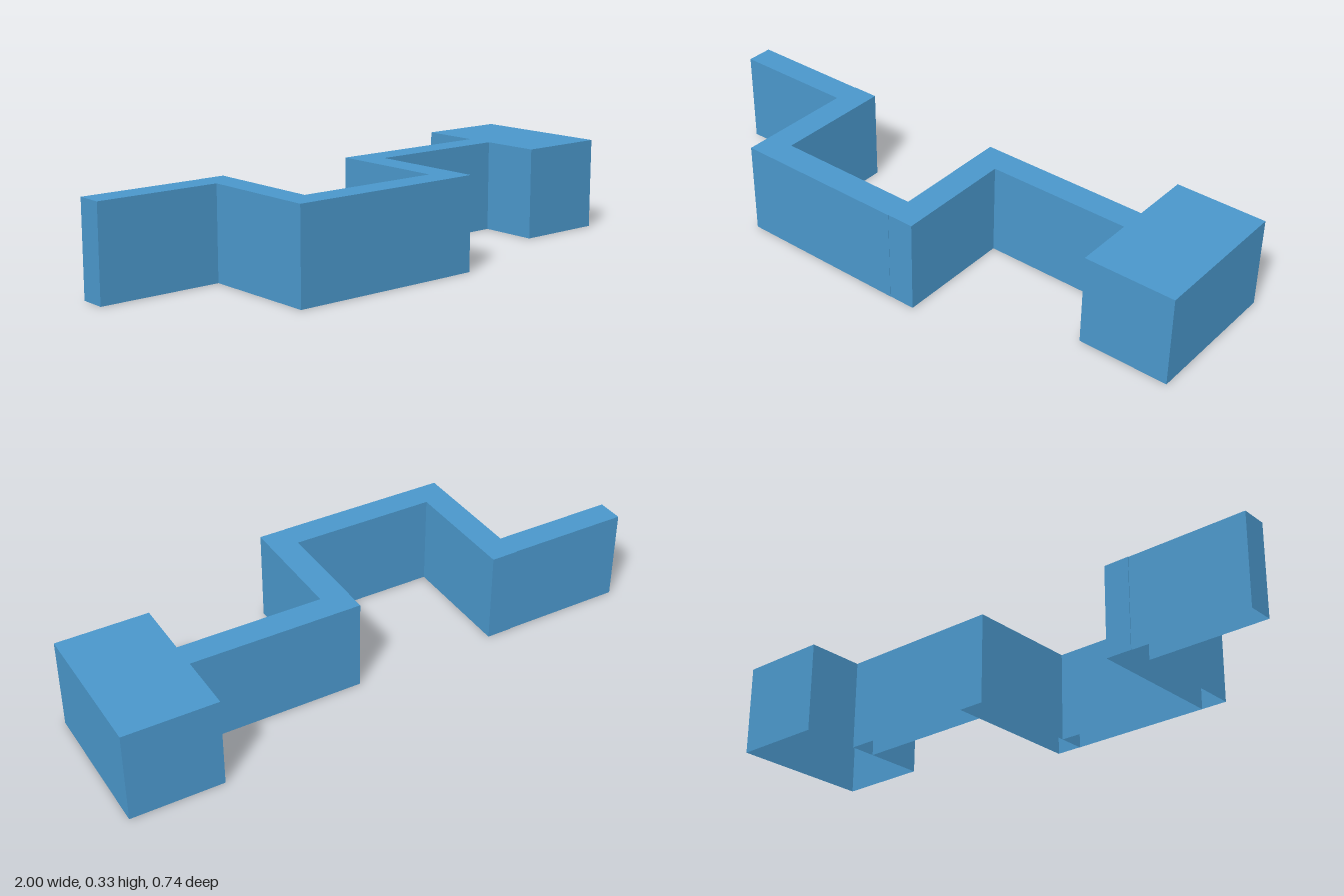
import * as THREE from 'three';

const HEIGHT = 0.328;

// Box shell standing on y = 0 with an open underside, given its plan extents
function openShell(name, x0, x1, z0, z1, material) {
  const geometry = new THREE.BoxGeometry(x1 - x0, HEIGHT, z1 - z0);
  // Drop the bottom face (fourth side of the box)
  const index = Array.from(geometry.index.array);
  index.splice(18, 6);
  geometry.setIndex(index);
  geometry.clearGroups();
  geometry.translate((x0 + x1) / 2, HEIGHT / 2, (z0 + z1) / 2);
  const mesh = new THREE.Mesh(geometry, material);
  mesh.name = name;
  return mesh;
}

export function createModel() {
  const group = new THREE.Group();
  group.name = 'crankedBlockRow';

  const blue = new THREE.MeshStandardMaterial({ color: 0x4a97cb, side: THREE.DoubleSide });
  blue.name = 'blue';

  // Plan of the row from right to left: x0, x1, z0, z1
  const parts = [
    ['rightArm', -1, -0.56, -0.154, -0.06],
    ['rightReturn', -0.56, -0.465, -0.156, 0.367],
    ['frontBar', -0.465, 0.06, 0.27, 0.367],
    ['leftReturn', 0.06, 0.156, -0.156, 0.366],
    ['leftArm', 0.156, 0.673, -0.156, -0.06],
    ['endBlock', 0.673, 1, -0.37, 0.153],
  ];
  for (const [name, x0, x1, z0, z1] of parts) {
    group.add(openShell(name, x0, x1, z0, z1, blue));
  }
  return group;
}
